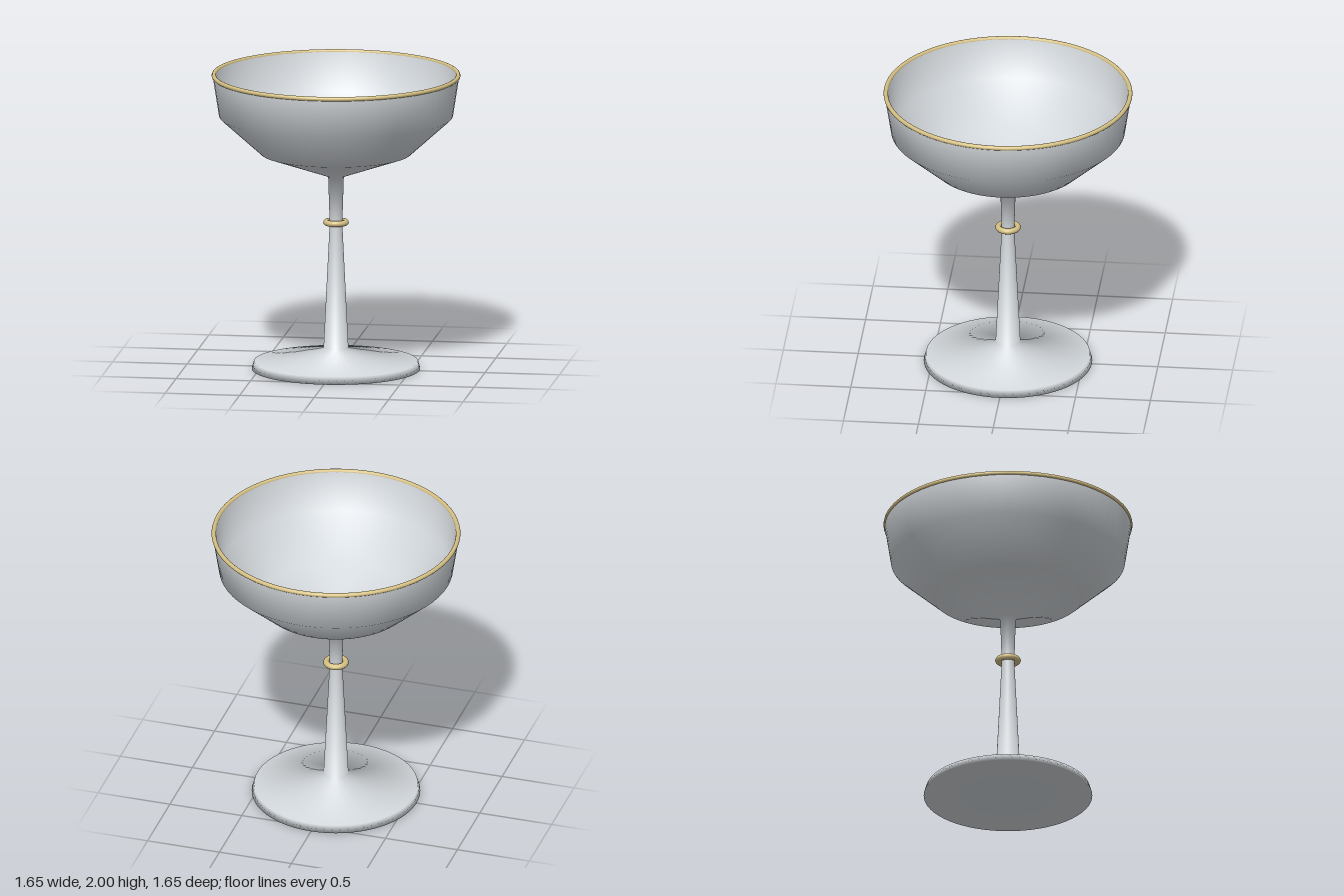
import * as THREE from 'three';

export function createModel() {
  const group = new THREE.Group();
  const glass = new THREE.MeshStandardMaterial({ color: 0xd3d8dc, side: THREE.DoubleSide });
  glass.name = 'pale silver';
  const gold = new THREE.MeshStandardMaterial({ color: 0xd6c184 });
  gold.name = 'soft gold';

  const lathe = (name, points) => {
    const profile = points.map(([r, y]) => new THREE.Vector2(r, y));
    const mesh = new THREE.Mesh(new THREE.LatheGeometry(profile, 64), glass);
    mesh.name = name;
    group.add(mesh);
  };

  const ring = (name, radius, tube, y) => {
    const mesh = new THREE.Mesh(new THREE.TorusGeometry(radius, tube, 12, 72), gold);
    mesh.name = name;
    mesh.rotation.x = Math.PI / 2;
    mesh.position.y = y;
    group.add(mesh);
  };

  // Foot, tapered stem and hollow bowl turned as one continuous profile
  lathe('goblet', [
    [0, 0], [0.56, 0], [0.545, 0.05], // foot
    [0.083, 0.14], [0.042, 0.98], [0.052, 1.3], // stem
    [0.5, 1.46], [0.777, 1.71], [0.82, 1.985], // bowl outside
    [0.797, 1.985], [0.755, 1.72], [0.485, 1.485], [0, 1.335], // bowl inside
  ]);

  // Gold trim
  ring('rimBand', 0.812, 0.015, 1.985);
  ring('stemCollar', 0.065, 0.02, 0.99);

  return group;
}
